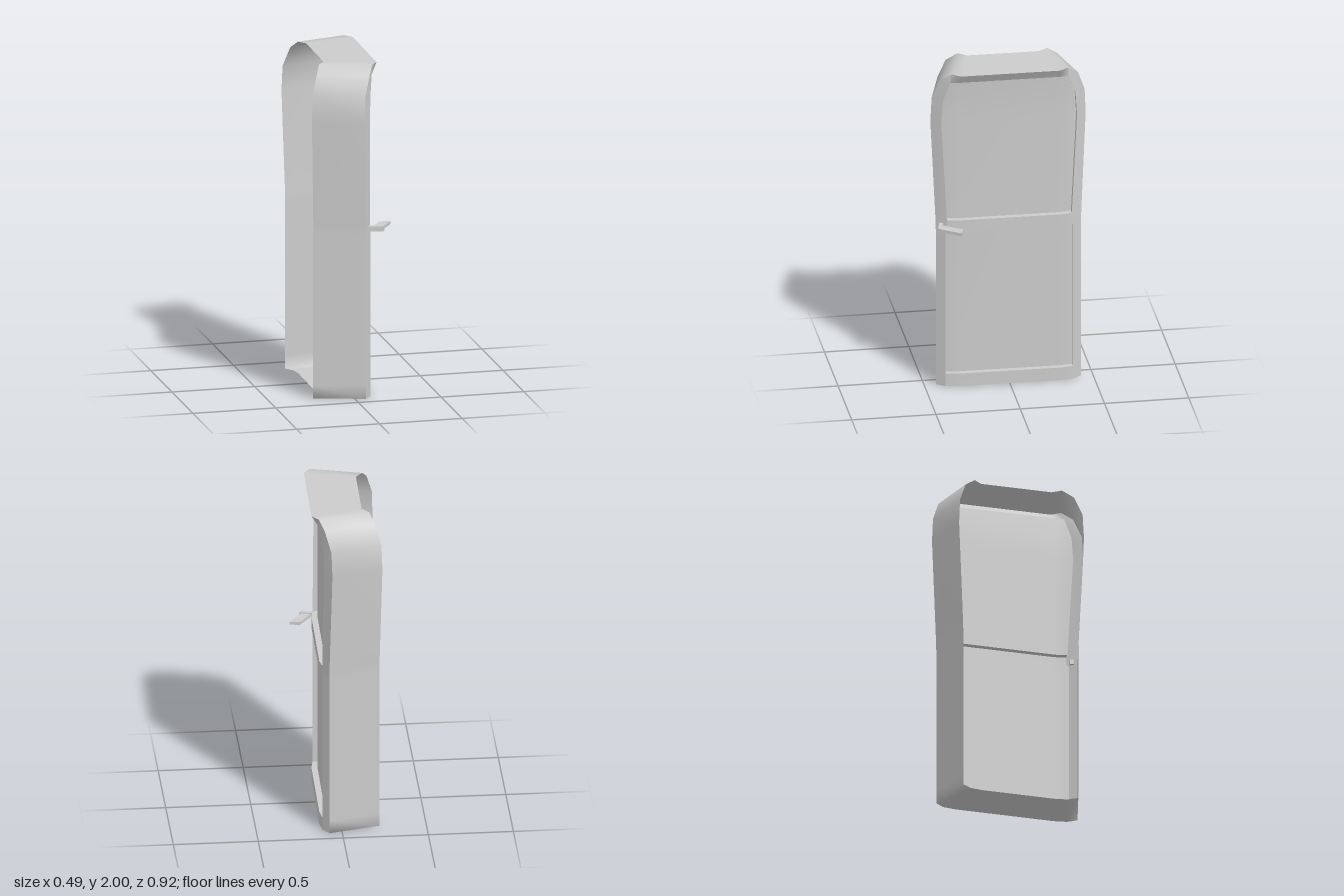
import * as THREE from 'three';

const material = new THREE.MeshStandardMaterial({ color: 0xcccccc, side: THREE.DoubleSide });
const shellDepth = 0.3, shellTaper = 0.08, recessDepth = 0.035;

// Surface through equal-length rows of [x, y, z] points
function sheet(name, rows, flat = false) {
  const n = rows[0].length, index = [];
  for (let r = 0; r < rows.length - 1; r++) {
    for (let i = 0; i < n - 1; i++) {
      const a = r * n + i, b = a + 1, c = a + n, d = c + 1;
      index.push(a, c, b, b, c, d);
    }
  }
  let geometry = new THREE.BufferGeometry();
  geometry.setAttribute('position', new THREE.Float32BufferAttribute(rows.flat(2), 3));
  geometry.setIndex(index);
  if (flat) geometry = geometry.toNonIndexed();
  geometry.computeVertexNormals();
  const mesh = new THREE.Mesh(geometry, material);
  mesh.name = name;
  return mesh;
}

// Horizontal line across the door face, bowed forward in the middle
const faceRow = (z, y, xEdge, xMid, zMid = 0.3) =>
  [[xEdge, y, -z], [xMid, y, -zMid], [xMid, y, zMid], [xEdge, y, z]];

const setBack = (points, d) => points.map(([x, y, z]) => [x - d, y, z]);

// Flat bar from an x-z outline, between two heights
function bar(name, outline, y0, y1) {
  const shape = new THREE.Shape(outline.map(([x, z]) => new THREE.Vector2(x, z)));
  const geometry = new THREE.ExtrudeGeometry(shape, { depth: y1 - y0, bevelEnabled: false });
  geometry.rotateX(Math.PI / 2).translate(0, y1, 0);
  const mesh = new THREE.Mesh(geometry, material);
  mesh.name = name;
  return mesh;
}

export function createModel() {
  const model = new THREE.Group();
  model.name = 'door';
  const body = new THREE.Group();
  body.name = 'doorBody';
  body.rotation.y = -0.012;
  model.add(body);

  // Outer edge of one side, from the bottom corner to the top corner
  const edge = [
    [0.07, 0, 0.43], [0.07, 0.08, 0.43], [0.07, 0.99, 0.43], [0.07, 1.06, 0.432],
    [0.055, 1.68, 0.46], [0.06, 1.83, 0.453], [0.095, 1.95, 0.41], [0.125, 2, 0.345],
  ];

  // Face rows that bound the rails and panels
  const rows = [
    faceRow(0.378, 0, 0.108, 0.12),
    faceRow(0.378, 0.08, 0.108, 0.12),
    faceRow(0.378, 0.99, 0.108, 0.12),
    faceRow(0.37, 1.06, 0.108, 0.12),
    faceRow(0.402, 1.68, 0.1, 0.12),
    faceRow(0.393, 1.82, 0.104, 0.122),
    faceRow(0.353, 1.945, 0.122, 0.13),
  ];
  const topRow = faceRow(0.345, 2, 0.125, 0.165, 0.295);

  // Tapered shell around the rim, open at the back
  const half = [[0.12, 0, 0], [0.12, 0, 0.3], [0.108, 0, 0.378], ...edge, [0.165, 2, 0.295], [0.165, 2, 0]];
  const mirrored = half.map(([x, y, z]) => [x, y, -z]).reverse();
  const ring = [...half, ...mirrored.slice(1)];
  const backRing = ring.map(([x, y, z]) => [x - shellDepth, y, z - Math.sign(z) * shellTaper]);
  body.add(sheet('rimShell', [backRing, ring]));

  // Sloped stiles on both sides
  for (const s of [1, -1]) {
    const stile = edge.map(([x, y, z], i) => {
      const inner = rows[Math.min(i, rows.length - 1)][s > 0 ? 3 : 0];
      const outer = [x, y, s * z];
      return s > 0 ? [inner, outer] : [outer, inner];
    });
    body.add(sheet(s > 0 ? 'leftStile' : 'rightStile', stile));
  }

  // Rails
  body.add(sheet('bottomRail', [rows[0], rows[1]]));
  body.add(sheet('middleRail', [rows[2], rows[3]]));
  body.add(sheet('topRail', [rows[6], topRow]));

  // Recessed panels with their side walls
  const panels = { lower: rows.slice(1, 3), upper: rows.slice(3) };
  for (const [name, levels] of Object.entries(panels)) {
    const top = levels[levels.length - 1];
    const border = [
      ...levels[0],
      ...levels.slice(1).map((r) => r[3]),
      ...[...top].reverse().slice(1),
      ...levels.slice(0, -1).reverse().map((r) => r[0]),
    ];
    body.add(sheet(name + 'PanelWalls', [border, setBack(border, recessDepth)], true));
    body.add(sheet(name + 'Panel', levels.map((r) => setBack(r, recessDepth))));
  }

  // Handle: stem through the stile and a slanted lever
  const handle = new THREE.Group();
  handle.name = 'handle';
  handle.add(bar('handleStem', [[0.07, 0.386], [0.18, 0.411], [0.165, 0.433], [0.07, 0.411]], 1.008, 1.038));
  handle.add(bar('handleLever', [[0.185, 0.29], [0.245, 0.3], [0.17, 0.41], [0.11, 0.395]], 1.014, 1.032));
  model.add(handle);

  return model;
}
